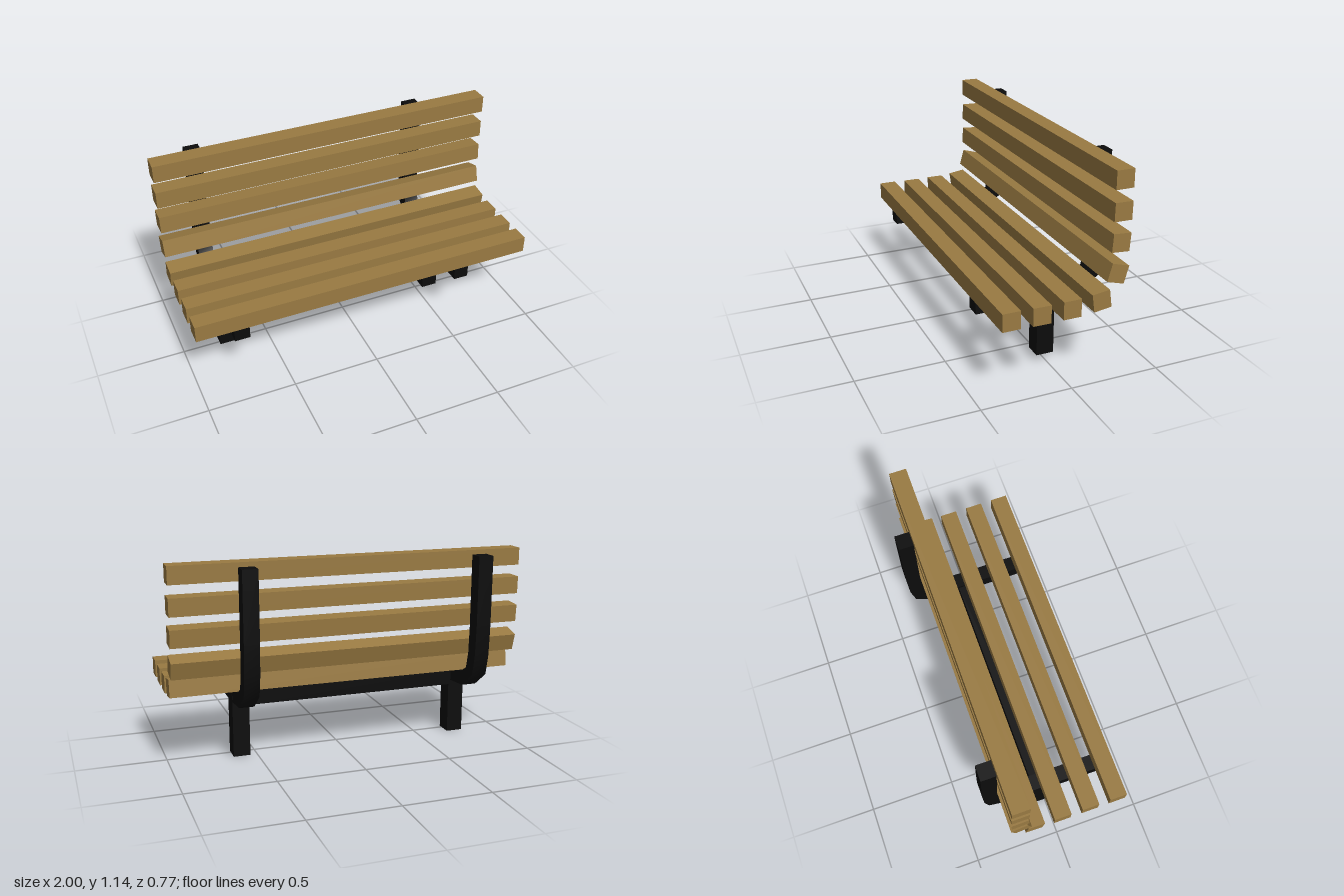
import * as THREE from 'three';
import { toCreasedNormals } from 'three/addons/utils/BufferGeometryUtils.js';

export function createModel() {
  const bench = new THREE.Group();
  bench.name = 'bench';
  const wood = new THREE.MeshStandardMaterial({ color: 0x997a42 });
  const iron = new THREE.MeshStandardMaterial({ color: 0x0c0c0c });

  function add(name, geometry, material, x, y, z) {
    const mesh = new THREE.Mesh(geometry, material);
    mesh.name = name;
    mesh.position.set(x, y, z);
    bench.add(mesh);
    return mesh;
  }

  // Slats, front of seat to top of back: [y, z, tilt in degrees]
  const slats = [
    [0.452, 0.338, 0], [0.449, 0.174, -0.5], [0.45, 0.009, 0], [0.464, -0.154, 8],
    [0.598, -0.238, -16], [0.763, -0.248, -4], [0.926, -0.251, -1], [1.091, -0.251, 0],
  ];
  const slatGeometry = new THREE.BoxGeometry(2, 0.098, 0.098);
  slats.forEach(([y, z, tilt], i) => {
    const slat = add(i < 4 ? 'seatSlat' : 'backSlat', slatGeometry, wood, 0, y, z);
    slat.rotation.x = THREE.MathUtils.degToRad(tilt);
  });

  // Bent support: side outline as [depth towards the back, height]
  const outline = [
    [-0.375, 0.322], [0, 0.318], [0.08, 0.324], [0.232, 0.336], [0.352, 0.426],
    [0.377, 0.546], [0.386, 0.72], [0.387, 1.115],
    [0.303, 1.115], [0.303, 0.7], [0.296, 0.546], [0.274, 0.454],
    [0.216, 0.418], [0.08, 0.402], [0, 0.4], [-0.375, 0.4],
  ];
  const supportShape = new THREE.Shape(outline.map(([d, y]) => new THREE.Vector2(d, y)));
  const supportWidth = 0.086;
  const supportGeometry = toCreasedNormals(
    new THREE.ExtrudeGeometry(supportShape, { depth: supportWidth, bevelEnabled: false })
      .translate(0, 0, -supportWidth / 2)
      .rotateY(Math.PI / 2),
    0.8
  );
  add('rightSupport', supportGeometry, iron, -0.745, 0, 0);
  add('leftSupport', supportGeometry, iron, 0.592, 0, 0);

  // Legs
  const legZ = -0.027;
  const legGeometry = new THREE.BoxGeometry(0.096, 0.36, 0.1);
  add('rightLeg', legGeometry, iron, -0.739, 0.18, legZ);
  add('leftLeg', legGeometry, iron, 0.588, 0.18, legZ);

  // Crossbar joining the two legs
  add('crossbar', new THREE.BoxGeometry(1.27, 0.088, 0.1), iron, -0.075, 0.342, legZ - 0.002);

  return bench;
}
